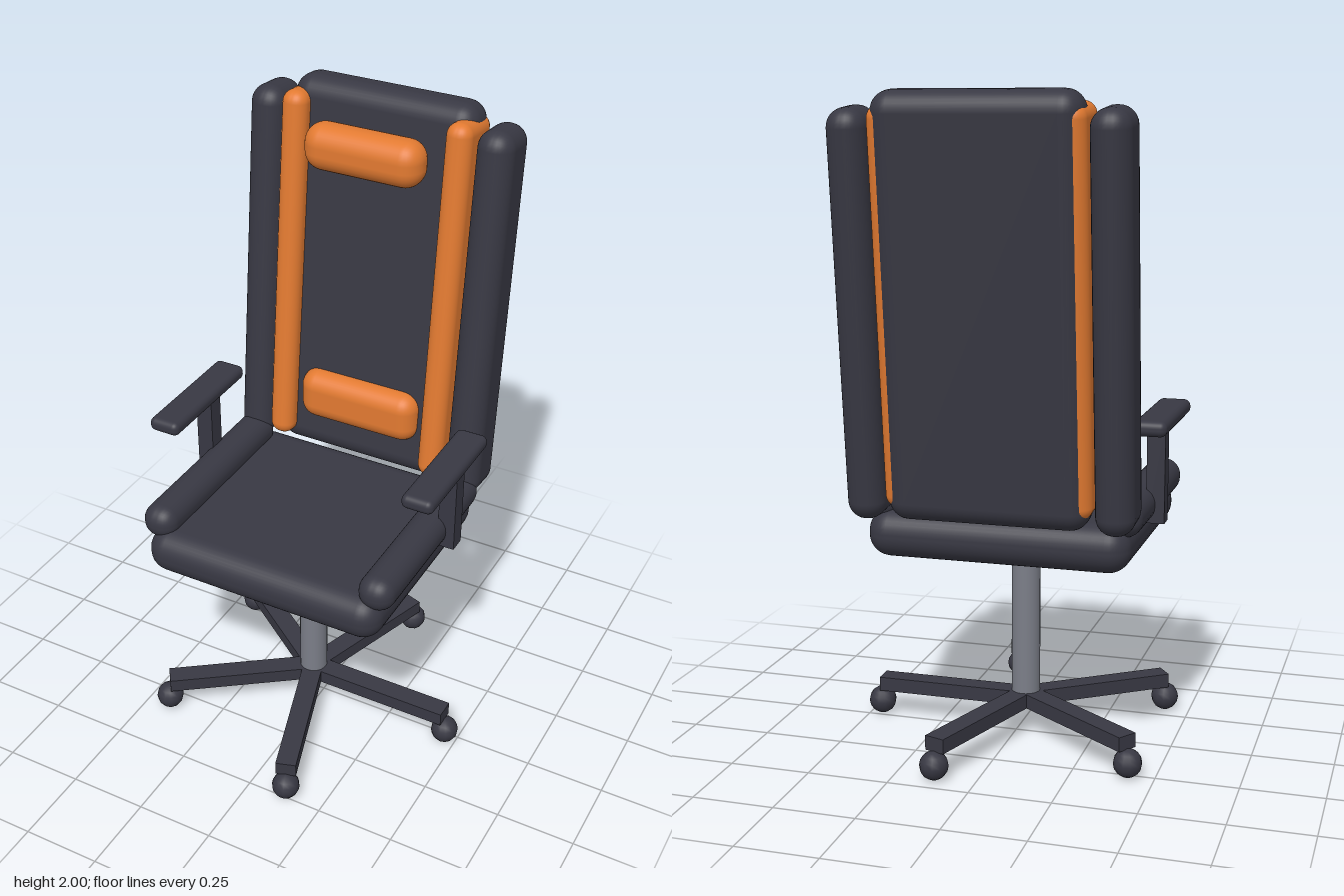
import * as THREE from 'three';
import { RoundedBoxGeometry } from 'three/addons/geometries/RoundedBoxGeometry.js';

const CX = -0.025; // centre line of the chair
const CZ = 0.025;  // column axis
const TILT = -0.098; // backrest recline

export function createModel() {
  const material = (name, color) => {
    const m = new THREE.MeshStandardMaterial({ color });
    m.name = name;
    return m;
  };
  const dark = material('charcoal', 0x383843);
  const orange = material('orange', 0xe27a31);
  const grey = material('grey metal', 0x7b7e88);

  const chair = new THREE.Group();
  chair.name = 'officeChair';

  const add = (name, geometry, mat, x, y, z, parent = chair) => {
    const mesh = new THREE.Mesh(geometry, mat);
    mesh.name = name;
    mesh.position.set(x, y, z);
    parent.add(mesh);
    return mesh;
  };
  const pad = (name, mat, [w, h, d], r, x, y, z) =>
    add(name, new RoundedBoxGeometry(w, h, d, 4, r), mat, x, y, z);

  // Five-armed base with ball casters
  const base = new THREE.Group();
  base.name = 'base';
  base.position.set(CX, 0, CZ);
  chair.add(base);
  for (let i = 0; i < 5; i++) {
    const spoke = new THREE.Group();
    spoke.name = 'baseSpoke';
    spoke.rotation.y = (i * Math.PI * 2) / 5;
    base.add(spoke);
    add('baseArm', new THREE.BoxGeometry(0.485, 0.045, 0.065), dark, 0.2425, 0.109, 0, spoke);
    add('caster', new THREE.SphereGeometry(0.044, 12, 8), dark, 0.487, 0.046, 0, spoke);
  }

  // Gas column
  add('column', new THREE.CylinderGeometry(0.045, 0.045, 0.53, 24), grey, CX, 0.395, CZ);

  // Seat cushion
  pad('seat', dark, [0.8, 0.145, 0.735], 0.068, CX, 0.702, 0.027);

  // Back panel
  pad('backPanel', dark, [0.6, 1.23, 0.145], 0.06, CX, 1.385, -0.405).rotation.x = TILT;

  // Mirrored side parts
  for (const s of [-1, 1]) {
    const side = s > 0 ? 'left' : 'right';
    pad(side + 'SeatBolster', dark, [0.115, 0.11, 0.675], 0.052, CX + s * 0.372, 0.79, 0.027);
    pad(side + 'BackWing', dark, [0.115, 1.19, 0.182], 0.055, CX + s * 0.372, 1.36, -0.382).rotation.x = TILT;
    pad(side + 'BackStripe', orange, [0.082, 1.155, 0.185], 0.038, CX + s * 0.268, 1.387, -0.373).rotation.x = TILT;
    add(side + 'ArmPost', new THREE.BoxGeometry(0.055, 0.295, 0.055), dark, CX + s * 0.43, 0.883, -0.062);
    pad(side + 'ArmPad', dark, [0.102, 0.046, 0.412], 0.02, CX + s * 0.43, 1.042, -0.004);
  }

  // Head and lumbar pillows
  pad('headPillow', orange, [0.385, 0.145, 0.125], 0.06, CX, 1.843, -0.302);
  pad('lumbarPillow', orange, [0.41, 0.168, 0.125], 0.055, CX, 0.985, -0.305);

  return chair;
}
